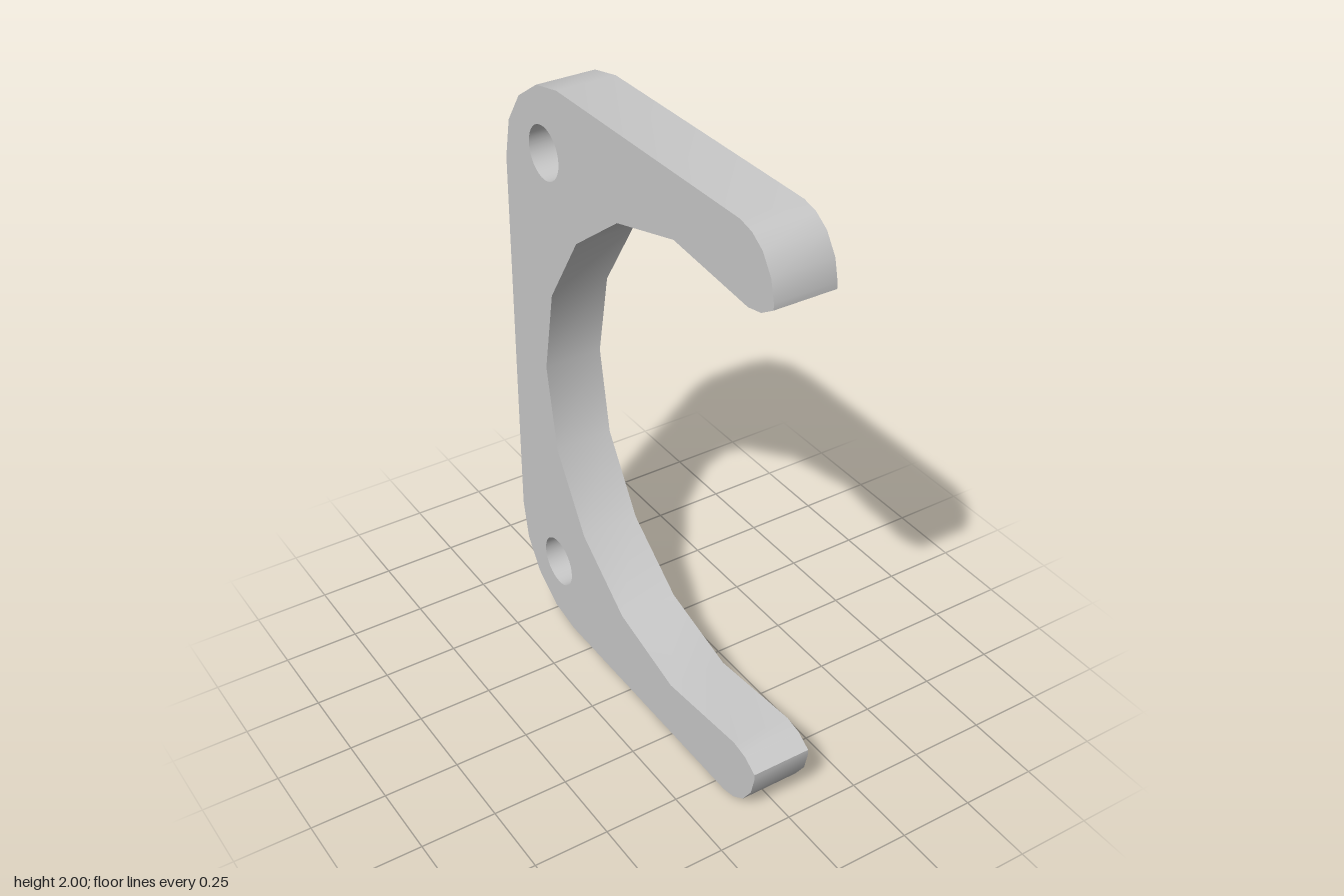
import * as THREE from 'three';
import { toCreasedNormals } from 'three/addons/utils/BufferGeometryUtils.js';

const HALF = 0.1;        // half of the plate thickness
const FLOOR = 0.02;      // level of the counterbore floor
const HOLE_R = 0.0875, BORE_R = 0.167;

// upper half of the outline: inner curve, rounded tip, top edge, back corner
const upper = [
  [0.442, 1.29], [0.283, 1.545], [0.05, 1.72], [-0.24, 1.8], [-0.59, 1.765],
  [-0.648, 1.777], [-0.7, 1.81], [-0.7, 1.83], [-0.685, 1.895], [-0.645, 1.955],
  [-0.597, 1.987], [-0.545, 2], [0.373, 2], [0.49, 1.975], [0.6, 1.9],
  [0.67, 1.795], [0.697, 1.66],
];

export function createModel() {
  const group = new THREE.Group();
  const grey = new THREE.MeshStandardMaterial({ color: 0xc8c8c8 });
  grey.name = 'grey';

  const add = (name, geometry) => {
    geometry.rotateY(Math.PI / 2); // profile x becomes -z, depth becomes x
    const mesh = new THREE.Mesh(geometry, grey);
    mesh.name = name;
    group.add(mesh);
  };

  // mirror the upper half to close the outline
  const lower = upper.map(([u, y]) => [u, 2 - y]).reverse();
  const outline = [[0.495, 1], ...upper, ...lower].map(([u, y]) => new THREE.Vector2(u, y));

  const centres = [[0.461, 1.768], [0.461, 0.232]];
  const circle = ([u, y], r, n = 32) => Array.from({ length: n }, (_, i) => {
    const a = (i / n) * Math.PI * 2;
    return new THREE.Vector2(u + r * Math.cos(a), y + r * Math.sin(a));
  });

  // flat face with round holes, turned over when it looks the other way
  const face = (points, holeR, depth, flip = false) => {
    const shape = new THREE.Shape(points);
    if (holeR) {
      const near = centres.filter(([u, y]) => points.some((p) => Math.abs(p.y - y) < 0.5));
      near.forEach((c) => shape.holes.push(new THREE.Path(circle(c, holeR))));
    }
    const g = new THREE.ShapeGeometry(shape);
    if (flip) {
      const idx = g.index.array;
      for (let i = 0; i < idx.length; i += 3) [idx[i], idx[i + 1]] = [idx[i + 1], idx[i]];
      g.computeVertexNormals();
    }
    return g.translate(0, 0, depth);
  };

  // band along a closed loop; it faces to the left of the walking direction
  const wall = (points, d0, d1) => {
    const pos = [];
    points.forEach((a, i) => {
      const b = points[(i + 1) % points.length];
      pos.push(a.x, a.y, d0, a.x, a.y, d1, b.x, b.y, d1);
      pos.push(a.x, a.y, d0, b.x, b.y, d1, b.x, b.y, d0);
    });
    const g = new THREE.BufferGeometry();
    g.setAttribute('position', new THREE.Float32BufferAttribute(pos, 3));
    return toCreasedNormals(g, 0.6);
  };

  // bracket body
  add('boredFace', face(outline, BORE_R, HALF));
  add('plainFace', face(outline, HOLE_R, -HALF, true));
  add('edgeWall', wall(outline, -HALF, HALF));

  // counterbored screw holes
  for (const c of centres) {
    add('boreWall', wall(circle(c, BORE_R), FLOOR, HALF));
    add('boreFloor', face(circle(c, BORE_R), HOLE_R, FLOOR));
    add('holeWall', wall(circle(c, HOLE_R), -HALF, FLOOR));
  }
  return group;
}
